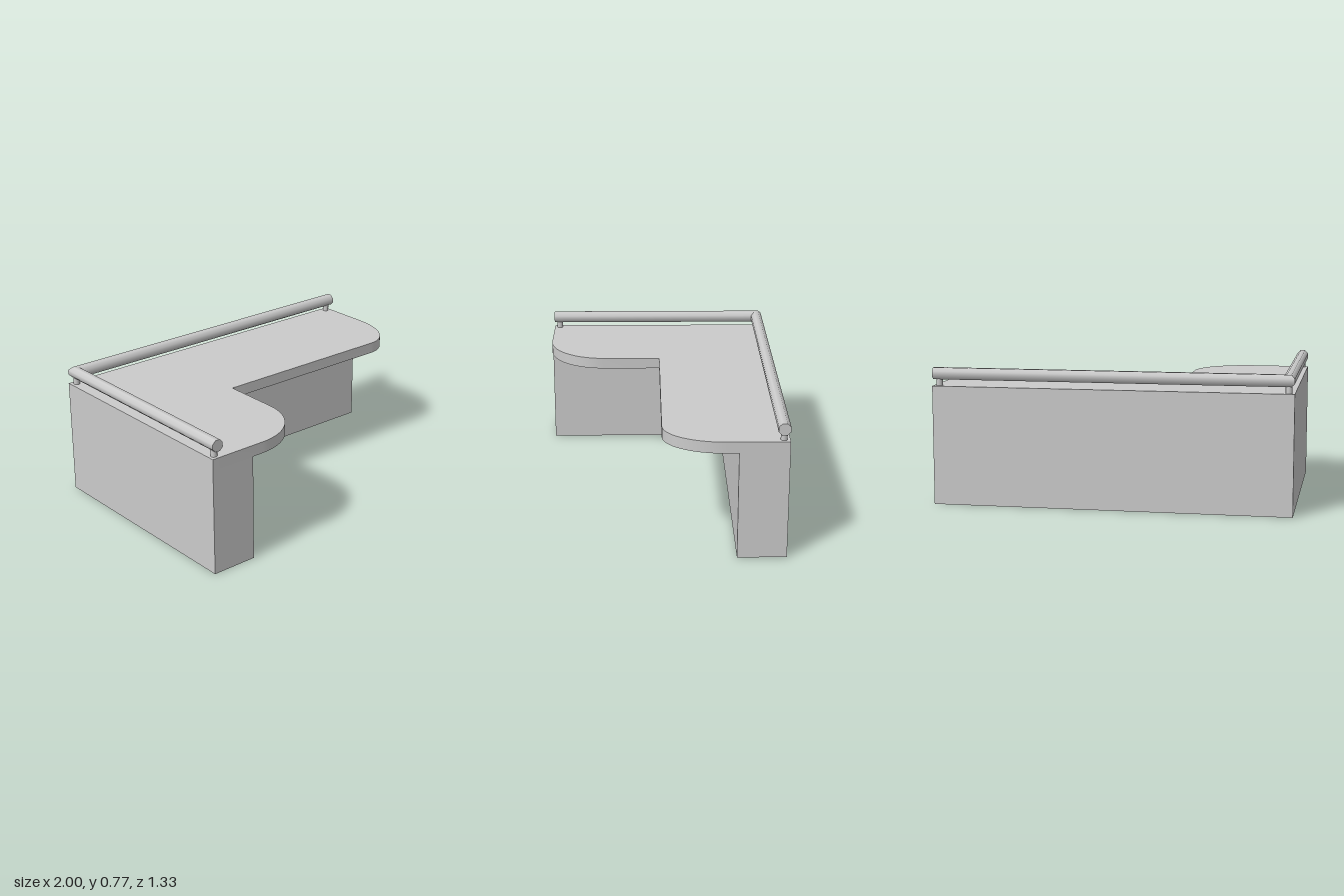
import * as THREE from 'three';
import { toCreasedNormals } from 'three/addons/utils/BufferGeometryUtils.js';

const material = new THREE.MeshStandardMaterial({ color: 0xcccccc });
const D = 0.667;            // half depth
const RAIL_Y = 0.735, RAIL_R = 0.0325;
const CX = -1 + 0.0335, CZ = -D + 0.0335; // rail corner

export function createModel() {
  const group = new THREE.Group();
  const add = (name, geometry, x = 0, y = 0, z = 0) => {
    const mesh = new THREE.Mesh(geometry, material);
    mesh.name = name;
    mesh.position.set(x, y, z);
    group.add(mesh);
  };
  // Plan outline (x, -z) raised upwards
  const slab = (shape, height) => {
    const g = new THREE.ExtrudeGeometry(shape, { depth: height, bevelEnabled: false, curveSegments: 8 });
    return toCreasedNormals(g.rotateX(-Math.PI / 2), 0.6);
  };

  // L-shaped base walls
  const walls = new THREE.Shape([
    [-1, D], [-1, -D], [-0.735, -D], [-0.735, 0.4], [1, 0.4], [1, D],
  ].map(([x, y]) => new THREE.Vector2(x, y)));
  add('baseWalls', slab(walls, 0.603));

  // Countertop with two rounded outer corners
  const top = new THREE.Shape();
  top.moveTo(-1, D);
  top.lineTo(-1, -D);
  top.lineTo(-0.667, -D);
  top.absellipse(-0.667, -0.333, 0.333, 0.334, -Math.PI / 2, 0, false);
  top.lineTo(-0.333, 0);
  top.lineTo(0.77, 0);
  top.absellipse(0.77, 0.333, 0.23, 0.333, -Math.PI / 2, 0, false);
  top.lineTo(1, D);
  top.closePath();
  add('countertop', slab(top, 0.064), 0, 0.603);

  // Octagonal rail along +z, its start sheared into a 45 degree mitre
  const rail = (length, mitre) => {
    const r = RAIL_R / Math.cos(Math.PI / 8);
    const g = new THREE.CylinderGeometry(r, r, length, 8, 1, false, Math.PI / 8);
    g.rotateX(Math.PI / 2).translate(0, 0, length / 2);
    const p = g.attributes.position;
    for (let i = 0; i < p.count; i++) {
      if (p.getZ(i) < 1e-4) p.setZ(i, mitre * p.getX(i));
    }
    return g;
  };
  add('sideRail', rail(D - CZ, 1), CX, RAIL_Y, CZ);
  add('backRail', rail(1 - CX, -1).rotateY(Math.PI / 2), CX, RAIL_Y, CZ);

  // Posts carrying the rails
  for (const [x, z] of [[CX, CZ], [-CX, CZ], [CX, -CZ]]) {
    add('railPost', new THREE.CylinderGeometry(0.018, 0.018, 0.06, 12), x, 0.69, z);
  }
  return group;
}
